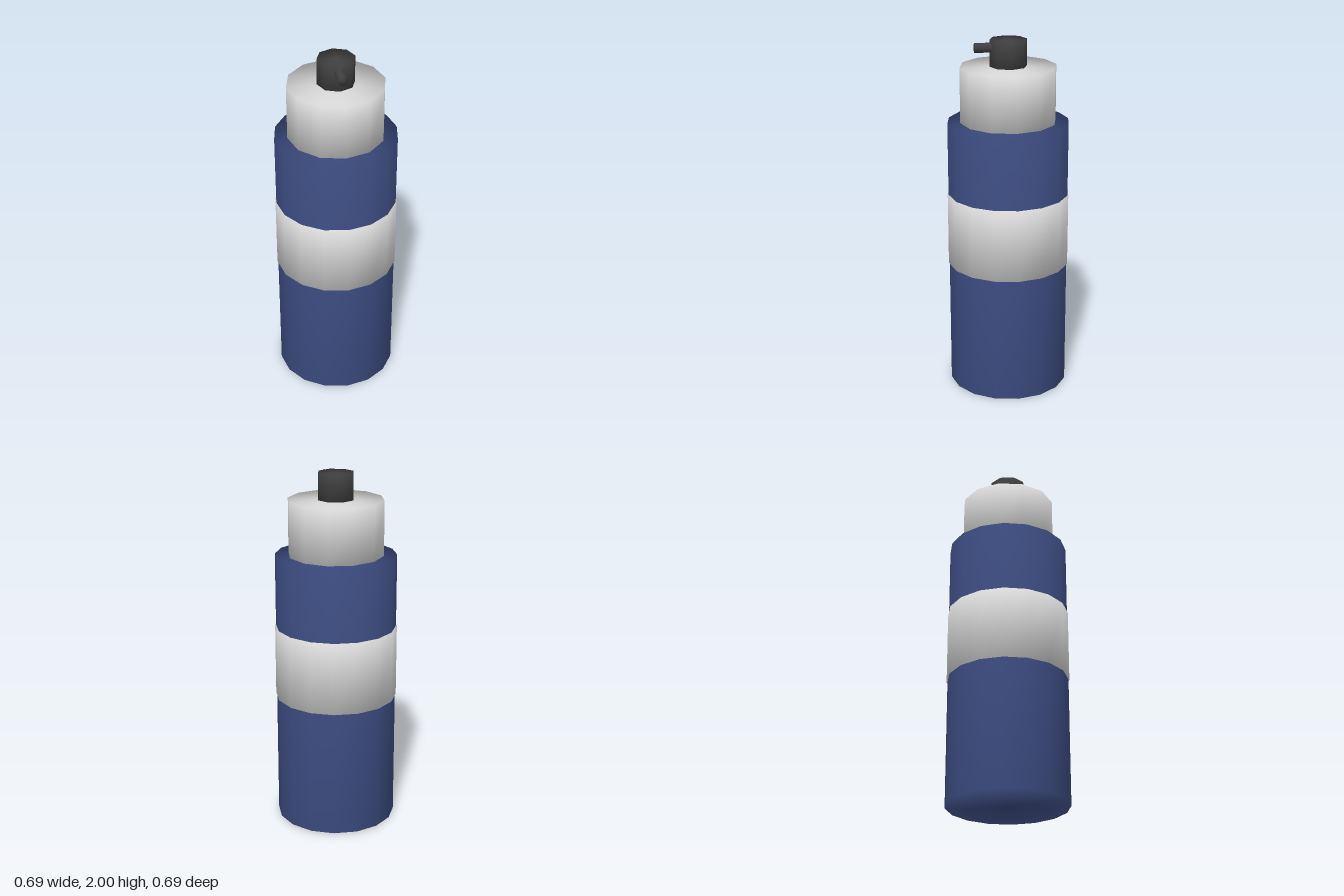
import * as THREE from 'three';
import { mergeVertices } from 'three/addons/utils/BufferGeometryUtils.js';

// Closed cylinder whose normals are smoothed across the rims as well
function softCylinder(radius, height, sides) {
  const geometry = new THREE.CylinderGeometry(radius, radius, height, sides);
  geometry.deleteAttribute('uv');
  geometry.deleteAttribute('normal');
  const merged = mergeVertices(geometry, 1e-4);
  merged.computeVertexNormals();
  return merged;
}

function makeMaterial(name, color) {
  const material = new THREE.MeshStandardMaterial({ color });
  material.name = name;
  return material;
}

export function createModel() {
  const group = new THREE.Group();
  group.name = 'sprayBottle';

  const blue = makeMaterial('blue', 0x3e4e84);
  const lightGrey = makeMaterial('lightGrey', 0xdadada);
  const darkGrey = makeMaterial('darkGrey', 0x404040);

  // Upright stacked parts: name, radius, bottom, top, sides, material
  const parts = [
    ['body', 0.338, 0, 1.545, 16, blue],
    ['labelBand', 0.343, 0.725, 1.135, 16, lightGrey],
    ['collar', 0.267, 1.545, 1.853, 12, lightGrey],
    ['pumpHead', 0.103, 1.853, 2, 8, darkGrey],
  ];
  for (const [name, radius, bottom, top, sides, material] of parts) {
    const mesh = new THREE.Mesh(softCylinder(radius, top - bottom, sides), material);
    mesh.name = name;
    mesh.position.y = (bottom + top) / 2;
    group.add(mesh);
  }

  // Spout pointing forward out of the pump head
  const spout = new THREE.Mesh(softCylinder(0.027, 0.125, 8), darkGrey);
  spout.name = 'spout';
  spout.rotation.x = Math.PI / 2;
  spout.position.set(0, 1.957, 0.1225);
  group.add(spout);

  return group;
}
